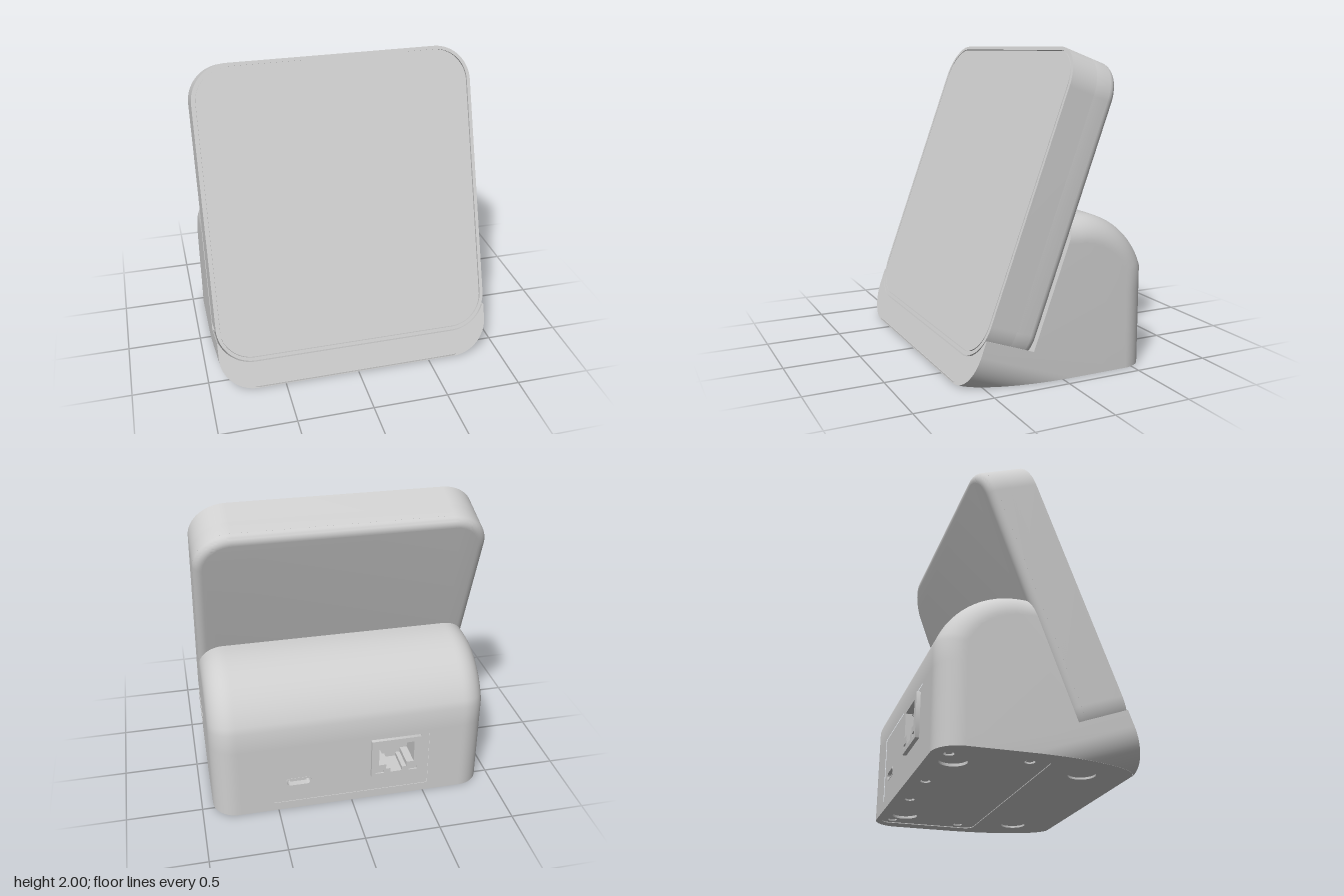
import * as THREE from 'three';
import { toCreasedNormals } from 'three/addons/utils/BufferGeometryUtils.js';

const TILT = THREE.MathUtils.degToRad(20);
const S = Math.sin(TILT), C = Math.cos(TILT);
const HALF = 0.925, FRONT = 0.63, BACK = -0.61, THICK = 0.33;

const grey = new THREE.MeshStandardMaterial({ color: 0xcfcfcf });
grey.name = 'light grey plastic';

function add(group, name, geo, x = 0, y = 0, z = 0) {
  const m = new THREE.Mesh(geo, grey);
  m.name = name;
  m.position.set(x, y, z);
  group.add(m);
  return m;
}

// Rounded rectangle centred on cx, cy
function rrect(cx, cy, w, h, r, Type = THREE.Shape) {
  const s = new Type(), a = w / 2 - r, b = h / 2 - r;
  s.absarc(cx + a, cy + b, r, 0, Math.PI / 2);
  s.absarc(cx - a, cy + b, r, Math.PI / 2, Math.PI);
  s.absarc(cx - a, cy - b, r, Math.PI, Math.PI * 1.5);
  s.absarc(cx + a, cy - b, r, Math.PI * 1.5, Math.PI * 2);
  s.closePath();
  return s;
}
const rectHole = (cx, cy, w, h, r) => rrect(cx, cy, w, h, r, THREE.Path);
const circleHole = (x, y, r) => new THREE.Path().absarc(x, y, r, 0, Math.PI * 2);

function extrude(shape, depth, opts = {}) {
  return toCreasedNormals(new THREE.ExtrudeGeometry(shape,
    { depth, bevelEnabled: false, curveSegments: 16, ...opts }), 0.6);
}

// Point on the tilted slab: v runs up the slope, w runs into it
const tilted = (v, w) => [FRONT - v * S - w * C, v * C - w * S];
// Drop of a quarter arc of radius r that starts at |x| = start
const arcDrop = (x, start, r) => {
  const k = Math.max(0, Math.abs(x) - start);
  return r - Math.sqrt(Math.max(0, r * r - k * k));
};

// Side profile [z, y] of the stand at a given x
function standProfile(x) {
  const f = arcDrop(x, 0.685, 0.24);
  const g = Math.min(0.34, 0.182 + arcDrop(x, 0.685, 0.248));
  const d = arcDrop(x, 0.765, 0.16);
  const back = BACK + d, R = 0.514 - d, cz = -0.12, cy = 0.486;
  const pts = [tilted(f, 0), tilted(f, f * C / S), [back, 0], [back, 0.06], [back, 0.5]];
  const a0 = Math.acos((cz - back) / R);
  for (let i = 0; i <= 14; i++) {
    const a = a0 + (Math.PI / 2 - a0) * i / 14;
    pts.push([cz - R * Math.cos(a), cy + R * Math.sin(a)]);
  }
  pts.push(tilted((1 - d + THICK * S) / C, THICK), tilted(g, THICK), tilted(g, 0));
  return pts;
}

function standSections() {
  const side = [0.53];
  for (let i = 0; i <= 16; i++) side.push(0.685 + 0.24 * Math.sin(Math.PI / 2 * i / 16));
  return [...side.map(x => -x).reverse(), ...side];
}

// Stand shell, open where the floor and port panel fit
function standGeometry() {
  const xs = standSections(), pos = [], idx = [];
  const rows = xs.map(standProfile), n = rows[0].length;
  rows.forEach((row, j) => row.forEach(([z, y]) => pos.push(xs[j], y, z)));
  for (let j = 0; j < xs.length - 1; j++) {
    for (let i = 0; i < n; i++) {
      if (i === 1 || (i === 3 && xs[j] === -0.53)) continue;
      const k = (i + 1) % n, a = j * n, b = a + n;
      idx.push(a + i, a + k, b + i, b + i, a + k, b + k);
    }
  }
  const last = (xs.length - 1) * n;
  const outline = rows[0].map(([z, y]) => new THREE.Vector2(-z, y));
  for (const [a, b, c] of THREE.ShapeUtils.triangulateShape(outline, [])) {
    idx.push(last + a, last + b, last + c, a, c, b);
  }
  const g = new THREE.BufferGeometry();
  g.setAttribute('position', new THREE.Float32BufferAttribute(pos, 3));
  g.setIndex(idx);
  return toCreasedNormals(g, 0.45);
}

// Floor with recessed cover, feet and screws
function buildUnderside() {
  const g = new THREE.Group();
  g.name = 'underside';
  const xs = standSections(), front = [], rear = [];
  for (const x of xs) {
    const p = standProfile(x);
    front.push(new THREE.Vector2(x, p[1][0]).multiplyScalar(0.998));
    rear.push(new THREE.Vector2(x, p[2][0]).multiplyScalar(0.998));
  }
  const floor = new THREE.Shape([...rear, ...front.reverse()]);
  const coverArea = [0, -0.24, 1.64, 0.66, 0.06];
  floor.holes.push(rectHole(...coverArea));
  const cover = rrect(...coverArea);
  const feet = [], screws = [[0.21, -0.5], [0.75, -0.5], [0.75, -0.03]];
  for (const s of [-1, 1]) {
    floor.holes.push(circleHole(s * 0.62, 0.34, 0.083));
    cover.holes.push(circleHole(s * 0.62, -0.44, 0.083));
    feet.push([s * 0.62, 0.34], [s * 0.62, -0.44]);
    for (const [x, z] of screws) {
      cover.holes.push(circleHole(s * x, z, 0.032));
      add(g, 'screw', new THREE.CylinderGeometry(0.02, 0.02, 0.02, 20), s * x, 0.02, z);
      add(g, 'screwRecess', new THREE.CylinderGeometry(0.034, 0.034, 0.01, 20), s * x, 0.03, z);
    }
  }
  add(g, 'floor', extrude(floor, 0.014), 0, 0.014, 0).rotation.x = Math.PI / 2;
  add(g, 'coverPlate', extrude(cover, 0.02), 0, 0.025, 0).rotation.x = Math.PI / 2;
  for (const [x, z] of feet) {
    add(g, 'foot', new THREE.CylinderGeometry(0.084, 0.084, 0.02, 40), x, z > 0 ? 0.023 : 0.032, z);
  }
  return g;
}

// Rear panel: local +z points out of the back
function buildPorts() {
  const g = new THREE.Group();
  g.name = 'rearPorts';
  g.position.z = BACK + 0.004;
  g.rotation.y = Math.PI;
  const ux = -0.36, uy = 0.21, jx = 0.3, jy = 0.325;

  const panel = rrect(0, 0.28, 1.06, 0.44, 0.002);
  panel.holes.push(rectHole(ux, uy, 0.18, 0.066, 0.033), rectHole(jx, jy, 0.34, 0.29, 0.004));
  add(g, 'portPanel', extrude(panel, 0.15), 0, 0, -0.15);

  // Small charging port
  const ring = rrect(ux, uy, 0.18, 0.066, 0.033);
  ring.holes.push(rectHole(ux, uy, 0.156, 0.044, 0.022));
  add(g, 'chargePortShell', extrude(ring, 0.15), 0, 0, -0.148);
  add(g, 'chargePortTongue', new THREE.BoxGeometry(0.11, 0.014, 0.12), ux, uy, -0.08);
  add(g, 'chargePortBack', new THREE.BoxGeometry(0.18, 0.07, 0.01), ux, uy, -0.145);

  // Network jack with stepped opening
  const jack = rrect(jx, jy, 0.34, 0.29, 0.004);
  const step = [[-0.12, 0.11], [-0.12, -0.05], [-0.07, -0.05], [-0.07, -0.085], [-0.04, -0.085],
    [-0.04, -0.115], [0.04, -0.115], [0.04, -0.085], [0.07, -0.085], [0.07, -0.05], [0.12, -0.05], [0.12, 0.11]];
  jack.holes.push(new THREE.Path(step.map(([x, y]) => new THREE.Vector2(jx + x, jy + y))));
  for (const s of [-1, 1]) jack.holes.push(rectHole(jx + s * 0.115, jy - 0.105, 0.06, 0.026, 0.004));
  add(g, 'networkJack', extrude(jack, 0.175), 0, 0, -0.15);
  add(g, 'networkJackBack', new THREE.BoxGeometry(0.33, 0.28, 0.01), jx, jy, -0.145);
  for (const s of [-1, 1]) {
    add(g, 'statusLight', new THREE.BoxGeometry(0.06, 0.026, 0.1), jx + s * 0.115, jy - 0.105, -0.035);
  }
  for (let i = 0; i < 8; i++) {
    const pin = add(g, 'contactPin', new THREE.BoxGeometry(0.012, 0.01, 0.13),
      jx + (i - 3.5) * 0.026, jy + 0.065, -0.07);
    pin.rotation.x = -0.5;
  }
  return g;
}

// Display slab, leaning back in the stand
function buildDisplay() {
  const g = new THREE.Group();
  g.name = 'display';
  g.position.z = FRONT;
  g.rotation.x = -TILT;
  const cy = (0.19 + 2.128) / 2, w = HALF * 2, h = 2.128 - 0.19, r = 0.24;
  const inset = d => [0, cy, w - 2 * d, h - 2 * d, r - d];

  add(g, 'displayBody', extrude(rrect(...inset(0)), 0.262), 0, 0, -0.277);
  add(g, 'roundedBackCover', extrude(rrect(...inset(0.055)), 0.1, {
    bevelEnabled: true, bevelThickness: 0.055, bevelSize: 0.055, bevelSegments: 8,
  }), 0, 0, -THICK + 0.055);
  const bezel = rrect(...inset(0));
  bezel.holes.push(rectHole(...inset(0.022)));
  add(g, 'bezel', extrude(bezel, 0.015), 0, 0, -0.015);
  add(g, 'screen', extrude(rrect(...inset(0.028)), 0.015), 0, 0, -0.015);
  return g;
}

export function createModel() {
  const model = new THREE.Group();
  model.name = 'deskDisplay';
  add(model, 'stand', standGeometry());
  model.add(buildUnderside(), buildPorts(), buildDisplay());
  return model;
}
